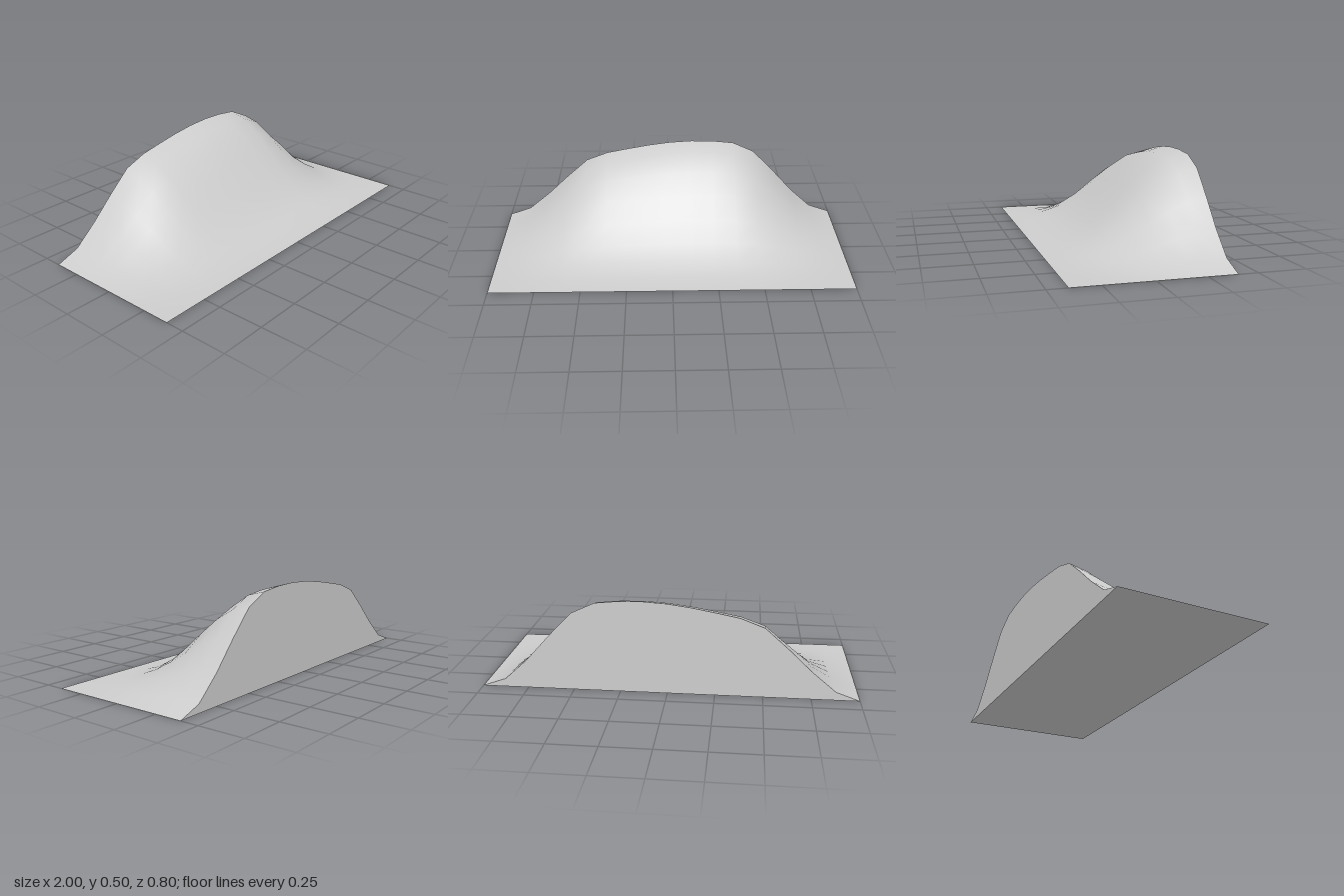
import * as THREE from 'three';

// Ridge height along x, and the share of it kept from back to front
const RIDGE = [0, 0.045, 0.15, 0.27, 0.382, 0.43, 0.455, 0.478, 0.495, 0.503, 0.501, 0.488, 0.43, 0.3, 0.16, 0.045, 0];
const FALLOFF = [1, 0.944, 0.803, 0.61, 0.406, 0.223, 0.089, 0.018, 0];
const WIDTH = 2, DEPTH = 0.8;

export function createModel() {
  const group = new THREE.Group();
  group.name = 'hillside';
  const stone = new THREE.MeshStandardMaterial({ color: 0xcccccc });
  stone.name = 'light grey';

  const add = (name, geometry) => {
    const mesh = new THREE.Mesh(geometry, stone);
    mesh.name = name;
    group.add(mesh);
    return mesh;
  };

  // Smooth slope: a grid lifted by ridge height times falloff
  const cols = RIDGE.length, rows = FALLOFF.length;
  const slope = new THREE.PlaneGeometry(WIDTH, DEPTH, cols - 1, rows - 1).rotateX(-Math.PI / 2);
  const pos = slope.attributes.position;
  for (let i = 0; i < pos.count; i++) {
    pos.setY(i, RIDGE[i % cols] * FALLOFF[Math.floor(i / cols)]);
  }
  slope.computeVertexNormals();
  add('slope', slope);

  // Flat back wall under the ridge line, turned to face backwards
  const outline = new THREE.Shape(
    RIDGE.map((h, i) => new THREE.Vector2(WIDTH / 2 - (i * WIDTH) / (cols - 1), h).multiply(new THREE.Vector2(-1, 1)))
      .map((p) => new THREE.Vector2(-p.x, p.y))
  );
  add('backWall', new THREE.ShapeGeometry(outline).rotateY(Math.PI).translate(0, 0, -DEPTH / 2));

  // Flat underside
  add('base', new THREE.PlaneGeometry(WIDTH, DEPTH).rotateX(Math.PI / 2));

  return group;
}
